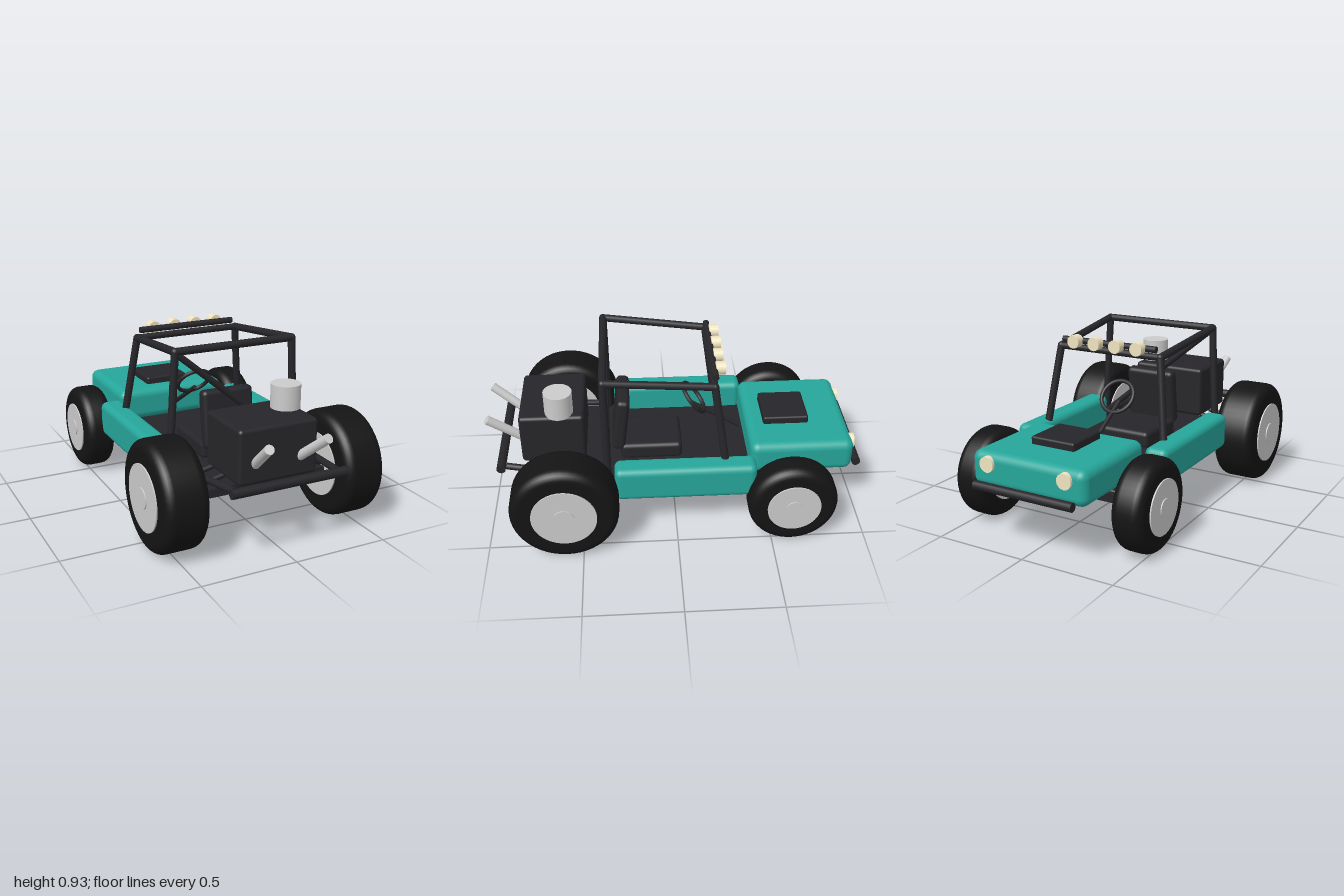
import * as THREE from 'three';
import { RoundedBoxGeometry } from 'three/addons/geometries/RoundedBoxGeometry.js';

const paint = new THREE.MeshStandardMaterial({ color: 0x26a69a });
const dark = new THREE.MeshStandardMaterial({ color: 0x26262a });
const rubber = new THREE.MeshStandardMaterial({ color: 0x141414 });
const metal = new THREE.MeshStandardMaterial({ color: 0xcccccc });
const lamp = new THREE.MeshStandardMaterial({ color: 0xefe3c0 });

export function createModel() {
  const model = new THREE.Group();
  model.name = 'buggy';

  const add = (name, geometry, material, parent = model) => {
    const mesh = new THREE.Mesh(geometry, material);
    mesh.name = name;
    parent.add(mesh);
    return mesh;
  };

  // Rounded box given by its extents on each axis
  const block = (name, [x0, x1], [y0, y1], [z0, z1], radius, material) => {
    const mesh = add(name, new RoundedBoxGeometry(x1 - x0, y1 - y0, z1 - z0, 4, radius), material);
    mesh.position.set((x0 + x1) / 2, (y0 + y1) / 2, (z0 + z1) / 2);
    return mesh;
  };

  // Straight round bar between two points
  const bar = (name, a, b, radius, material = dark) => {
    const from = new THREE.Vector3(...a), to = new THREE.Vector3(...b);
    const dir = to.clone().sub(from);
    const mesh = add(name, new THREE.CylinderGeometry(radius, radius, dir.length(), 16), material);
    mesh.position.copy(from).add(to).multiplyScalar(0.5);
    mesh.quaternion.setFromUnitVectors(new THREE.Vector3(0, 1, 0), dir.normalize());
    return mesh;
  };

  // Body
  add('floorPan', new THREE.BoxGeometry(0.74, 0.045, 1.36), dark).position.set(0, 0.267, -0.02);
  block('hood', [-0.325, 0.325], [0.295, 0.475], [-0.945, -0.395], 0.045, paint);
  block('hoodScoop', [-0.125, 0.125], [0.45, 0.515], [-0.73, -0.485], 0.012, dark);

  // Seat
  block('seatBase', [-0.145, 0.145], [0.28, 0.375], [-0.045, 0.29], 0.025, dark);
  const back = block('seatBack', [-0.145, 0.145], [0.345, 0.655], [0.25, 0.32], 0.025, dark);
  back.rotation.x = -0.12;

  // Steering
  const wheelRing = add('steeringWheel', new THREE.TorusGeometry(0.093, 0.011, 10, 32), dark);
  wheelRing.position.set(0, 0.582, -0.115);
  wheelRing.rotation.x = 0.67;
  bar('steeringColumn', [0, 0.55, -0.1], [0, 0.385, -0.37], 0.012);

  // Engine with air intake
  block('engine', [-0.215, 0.215], [0.345, 0.627], [0.473, 0.815], 0.02, dark);
  add('airIntake', new THREE.CylinderGeometry(0.075, 0.075, 0.13, 32), metal).position.set(0.155, 0.685, 0.605);

  // Cross bars of the frame
  bar('rearHoopTop', [-0.33, 0.905, 0.365], [0.33, 0.905, 0.365], 0.02);
  bar('frontHoopTop', [-0.3, 0.845, -0.195], [0.3, 0.845, -0.195], 0.018);
  bar('cageDiagonal', [-0.33, 0.9, 0.365], [0.355, 0.33, 0.36], 0.017);
  bar('lightBar', [-0.28, 0.884, -0.2], [0.28, 0.884, -0.2], 0.017);
  bar('rearBumper', [-0.31, 0.375, 0.918], [0.31, 0.375, 0.918], 0.024);
  bar('frontBumper', [-0.28, 0.315, -0.977], [0.28, 0.315, -0.977], 0.023);

  // Roof lamps
  for (const x of [-0.19, -0.065, 0.06, 0.185]) {
    bar('roofLamp', [x, 0.885, -0.208], [x, 0.885, -0.258], 0.035, lamp);
  }

  // Wheel: lathed tyre, rim disc and cap, outer side along +y before turning
  const addWheel = (name, side, radius, inner, outer, z, rim, cap) => {
    const wheel = new THREE.Group();
    wheel.name = name;
    const h = (outer - inner) / 2, c = 0.05;
    const points = [new THREE.Vector2(rim * 0.9, -h)];
    for (const s of [-1, 1]) {
      for (let i = 0; i <= 6; i++) {
        const a = (i / 6) * Math.PI / 2;
        const t = s < 0 ? a - Math.PI / 2 : a;
        points.push(new THREE.Vector2(radius - c + c * Math.cos(t), s * (h - c) + c * Math.sin(t)));
      }
    }
    points.push(new THREE.Vector2(rim * 0.9, h));
    add('tyre', new THREE.LatheGeometry(points, 48), rubber, wheel);
    add('rim', new THREE.CylinderGeometry(rim, rim, 2 * h + 0.014, 40), metal, wheel);
    add('hubCap', new THREE.CylinderGeometry(cap, cap, 2 * h + 0.026, 24), metal, wheel);
    wheel.rotation.z = -side * Math.PI / 2;
    wheel.position.set(side * (inner + outer) / 2, radius, z);
    model.add(wheel);
  };

  // Mirrored parts
  for (const s of [-1, 1]) {
    const label = s > 0 ? 'left' : 'right';
    const pod = s > 0 ? [0.325, 0.452] : [-0.452, -0.325];
    block(label + 'SidePod', pod, [0.245, 0.438], [-0.415, 0.325], 0.035, paint);

    addWheel(label + 'RearWheel', s, 0.28, 0.372, 0.6, 0.585, 0.168, 0.055);
    addWheel(label + 'FrontWheel', s, 0.235, 0.375, 0.542, -0.602, 0.14, 0.046);

    // Roll cage
    bar(label + 'RearPost', [s * 0.33, 0.905, 0.365], [s * 0.365, 0.29, 0.36], 0.02);
    bar(label + 'FrontPost', [s * 0.3, 0.845, -0.195], [s * 0.36, 0.39, -0.26], 0.02);
    bar(label + 'RoofRail', [s * 0.33, 0.905, 0.365], [s * 0.3, 0.845, -0.195], 0.02);
    for (const [x, y, z] of [[0.33, 0.905, 0.365], [0.3, 0.845, -0.195]]) {
      add(label + 'CageJoint', new THREE.SphereGeometry(0.0205, 16, 12), dark).position.set(s * x, y, z);
    }

    // Rear frame rails and front bumper brackets
    bar(label + 'RearRail', [s * 0.35, 0.325, 0.36], [s * 0.28, 0.375, 0.89], 0.018);
    bar(label + 'BumperBracket', [s * 0.2, 0.3, -0.7], [s * 0.2, 0.305, -0.91], 0.013);

    // Suspension arms
    for (const dz of [-0.06, 0.06]) {
      bar(label + 'RearArm', [s * 0.2, 0.345, 0.58 + dz], [s * 0.4, 0.3, 0.58 + dz], 0.014);
      bar(label + 'FrontArm', [s * 0.2, 0.3, -0.602 + dz], [s * 0.4, 0.27, -0.602 + dz], 0.014);
    }

    bar(label + 'Exhaust', [s * 0.122, 0.44, 0.795], [s * 0.157, 0.59, 0.985], 0.024, metal);
    bar(label + 'Headlamp', [s * 0.22, 0.42, -0.925], [s * 0.22, 0.42, -0.96], 0.04, lamp);
  }

  return model;
}
